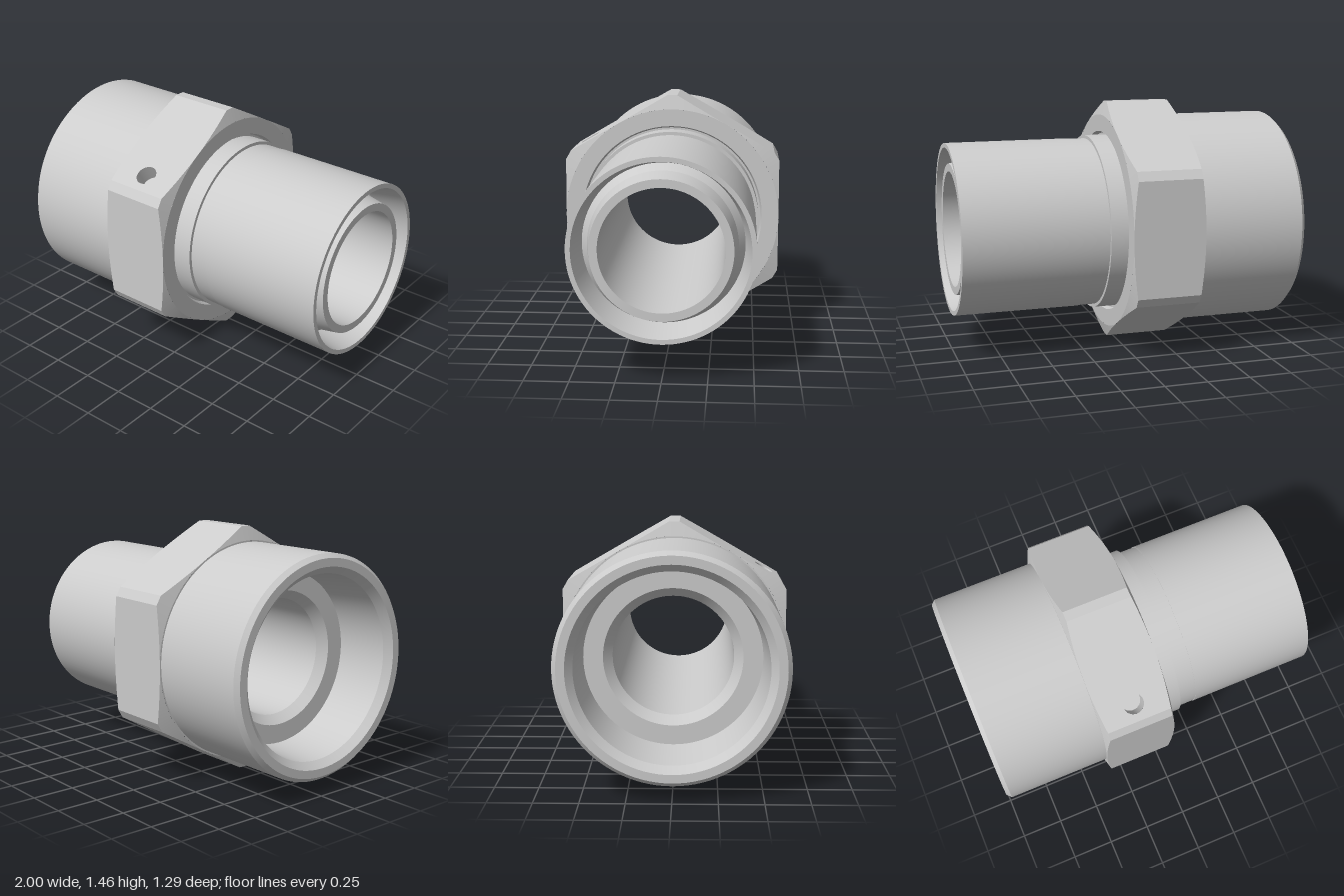
import * as THREE from 'three';
import { mergeGeometries } from 'three/addons/utils/BufferGeometryUtils.js';

const AXIS_Y = 0.7275;
const FLAT = 0.645, CORNER = 0.7275;      // hex: axis to flat, axis to cut corner
const X0 = -0.37, X1 = 0.06;              // hex ends
const inset = r => Math.max(0, (r - FLAT) / (CORNER - FLAT)) * 0.024;

// Turned surface along x from [x, radius] points, with a sharp edge at each point
function turned(points) {
  const parts = [];
  for (let i = 0; i < points.length - 1; i++) {
    const pair = [points[i], points[i + 1]].map(([x, r]) => new THREE.Vector2(r, x));
    parts.push(new THREE.LatheGeometry(pair, 96));
  }
  return mergeGeometries(parts).rotateZ(-Math.PI / 2);
}

// One side of the hex, its ends curved by the conical chamfer
function hexSide(d, w, angle, hole) {
  const n = 24, left = [], right = [];
  for (let i = 0; i <= n; i++) {
    const u = -w + (2 * w * i) / n, k = inset(Math.hypot(d, u));
    right.push(new THREE.Vector2(X1 - k, u));
    left.unshift(new THREE.Vector2(X0 + k, u));
  }
  const shape = new THREE.Shape([...right, ...left]);
  if (hole) shape.holes.push(new THREE.Path().absarc(hole.x, hole.u, hole.r, 0, Math.PI * 2, true));
  return new THREE.ShapeGeometry(shape, 24).translate(0, 0, d).rotateX(angle);
}

// Conical chamfer strip between one hex side and the flat end ring
function chamfer(d, w, angle, end) {
  const n = 24, pos = [], idx = [];
  for (let i = 0; i <= n; i++) {
    const u = -w + (2 * w * i) / n, r = Math.hypot(d, u), k = inset(r);
    const x = end > 0 ? X1 : X0;
    pos.push(x, (u * FLAT) / r, (d * FLAT) / r, x - end * k, u, d);
    if (i < n) {
      const a = 2 * i;
      if (end > 0) idx.push(a, a + 2, a + 1, a + 2, a + 3, a + 1);
      else idx.push(a, a + 1, a + 2, a + 2, a + 1, a + 3);
    }
  }
  const g = new THREE.BufferGeometry();
  g.setAttribute('position', new THREE.Float32BufferAttribute(pos, 3));
  g.setIndex(idx);
  g.computeVertexNormals();
  return g.rotateX(angle);
}

export function createModel() {
  const group = new THREE.Group();
  const steel = new THREE.MeshStandardMaterial({ color: 0xcccccc });
  steel.name = 'steel';
  const add = (name, geometry) => {
    const mesh = new THREE.Mesh(geometry, steel);
    mesh.name = name;
    mesh.position.y = AXIS_Y;
    group.add(mesh);
  };

  // Wide socket, from the bore shoulder out over the rim to the hex
  add('socket', turned([
    [-0.60, 0.34], [-0.65, 0.39], [-0.65, 0.50], [-0.96, 0.525], [-1, 0.565],
    [-1, 0.612], [-0.975, 0.636], [-0.36, 0.636],
  ]));

  // Collar, neck and sleeve, then the grooved end and the through bore
  add('sleeve', turned([
    [0.03, 0.523], [0.155, 0.523], [0.155, 0.504], [0.26, 0.504], [0.26, 0.507],
    [1, 0.507], [1, 0.48], [0.80, 0.445], [0.85, 0.41], [0.98, 0.386],
    [0.98, 0.34], [-0.60, 0.34],
  ]));

  // Hex nut: six flats, six cut corners and chamfers on both ends
  const hole = { x: -0.155, u: -0.232, r: 0.06 };
  const halfCorner = (FLAT / Math.cos(Math.PI / 6) - CORNER) * Math.tan(Math.PI / 3);
  const halfFlat = Math.sqrt(CORNER ** 2 + halfCorner ** 2 - FLAT ** 2);
  const sides = [], chamfers = [];
  for (let k = 0; k < 6; k++) {
    const a = (k * Math.PI) / 3, b = a + Math.PI / 6;
    sides.push(hexSide(FLAT, halfFlat, a, k === 5 ? hole : null));
    sides.push(hexSide(CORNER, halfCorner, b));
    for (const end of [1, -1]) {
      chamfers.push(chamfer(FLAT, halfFlat, a, end), chamfer(CORNER, halfCorner, b, end));
    }
  }
  add('hexSides', mergeGeometries(sides));
  add('hexChamfers', mergeGeometries(chamfers));
  add('hexBackRing', turned([[X0, 0.63], [X0, FLAT]]));
  add('hexFrontRing', turned([[X1, FLAT], [X1, 0.545], [0.03, 0.535], [0.03, 0.523]]));

  // Blind hole in the upper front flat
  const depth = 0.1;
  const wall = new THREE.LatheGeometry(
    [new THREE.Vector2(hole.r, 0), new THREE.Vector2(hole.r, -depth)], 32).rotateX(Math.PI / 2);
  const floor = new THREE.CircleGeometry(hole.r, 32).translate(0, 0, -depth);
  for (const [name, g] of [['holeWall', wall], ['holeFloor', floor]]) {
    add(name, g.translate(hole.x, hole.u, FLAT).rotateX(-Math.PI / 3));
  }
  return group;
}
